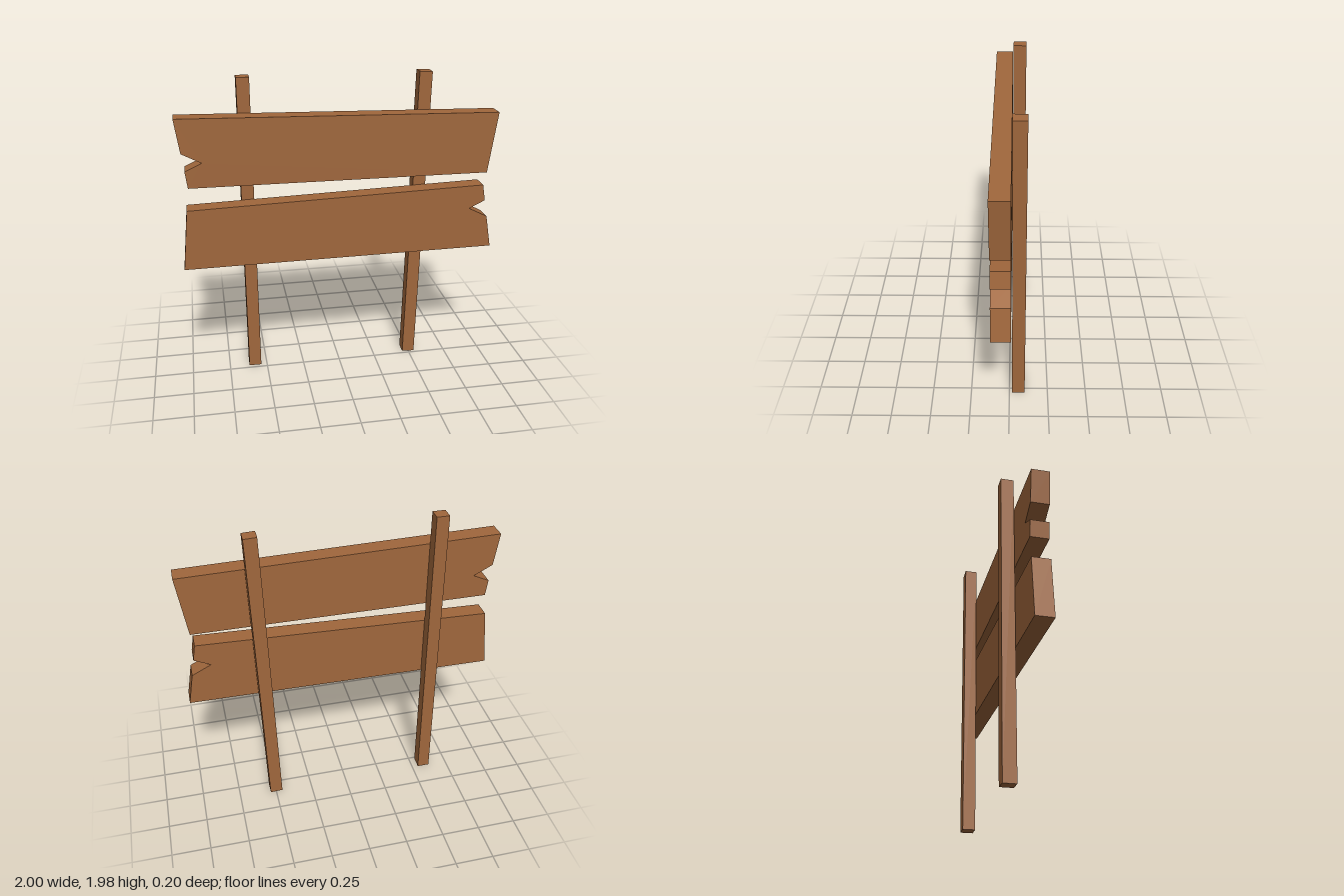
import * as THREE from 'three';

const wood = new THREE.MeshStandardMaterial({ color: 0xa0673c });
wood.name = 'brown wood';

// Extrudes a front outline from zBack to zFront
function plank(name, points, zBack, zFront) {
  const shape = new THREE.Shape(points.map(([x, y]) => new THREE.Vector2(x, y)));
  const geometry = new THREE.ExtrudeGeometry(shape, { depth: zFront - zBack, bevelEnabled: false });
  geometry.translate(0, 0, zBack);
  const mesh = new THREE.Mesh(geometry, wood);
  mesh.name = name;
  return mesh;
}

export function createModel() {
  const group = new THREE.Group();
  group.name = 'woodenSign';

  // Posts: one upright, one leaning slightly
  group.add(plank('rightPost',
    [[-0.62, 0.005], [-0.54, 0.005], [-0.54, 1.98], [-0.62, 1.98]], -0.1, -0.018));
  group.add(plank('leftPost',
    [[0.457, 0.004], [0.539, 0], [0.591, 1.975], [0.509, 1.979]], -0.1, -0.018));

  // Boards with a split notch at one end
  group.add(plank('upperBoard', [
    [-1, 1.775], [-0.97, 1.563], [-0.85, 1.5], [-0.955, 1.452],
    [-0.942, 1.346], [0.943, 1.34], [0.998, 1.73],
  ], -0.013, 0.102));
  group.add(plank('lowerBoard', [
    [-1, 0.812], [1, 0.826], [0.963, 1.037], [0.84, 1.1],
    [0.943, 1.15], [0.925, 1.256], [-0.96, 1.202],
  ], -0.013, 0.102));

  return group;
}
